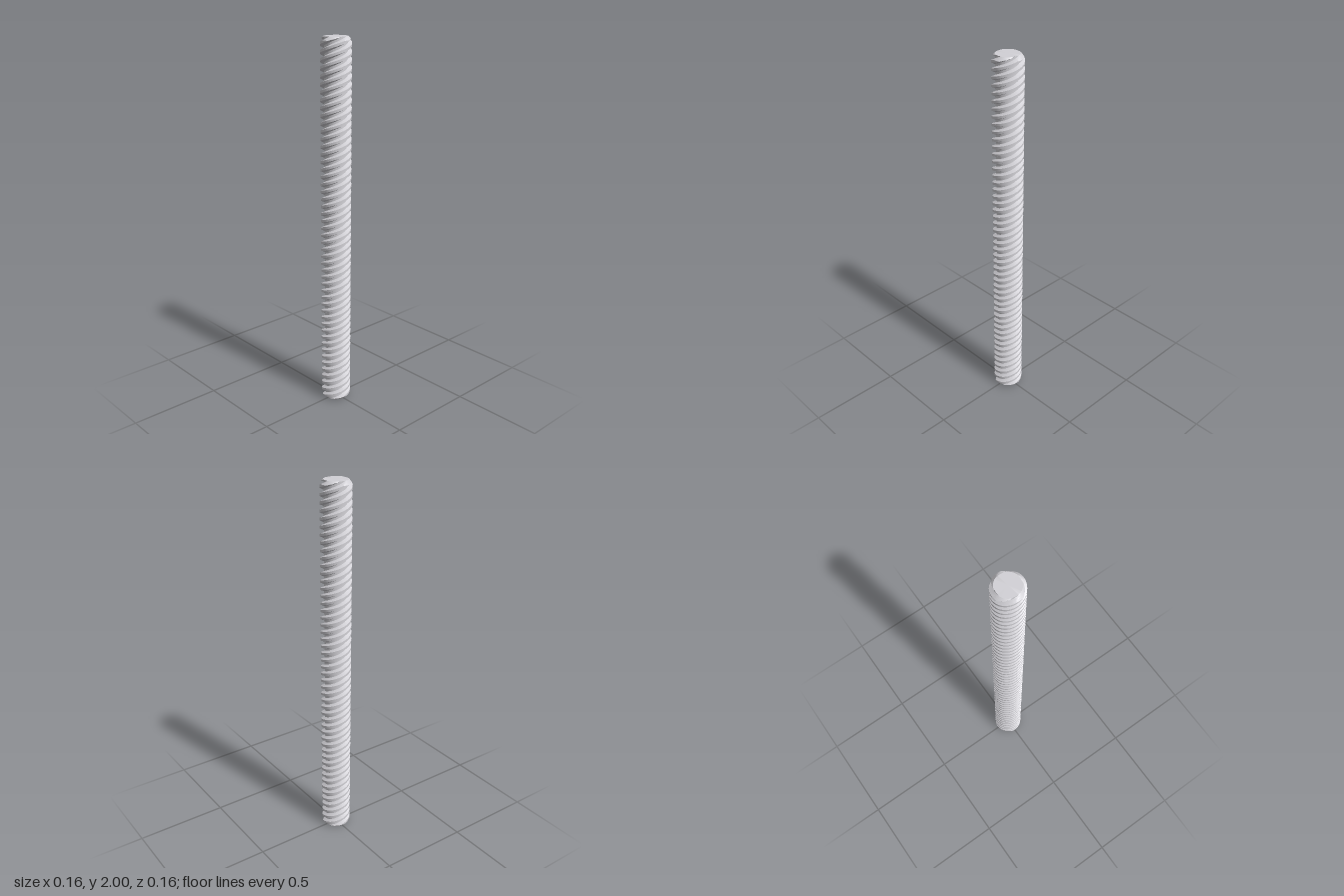
import * as THREE from 'three';
import { toCreasedNormals } from 'three/addons/utils/BufferGeometryUtils.js';

const LENGTH = 2, STARTS = 4, LEAD = 0.16;
const ROOT = 0.06, CREST = 0.08, END = 0.062; // radii; END is the flat end face
const CHAMFER = CREST - END;

// One trapezoidal thread as [fraction of pitch, radius], beginning mid-groove
function threadProfile() {
  const corners = [[0, ROOT, 2], [0.15, ROOT, 3], [0.34, CREST, 3], [0.66, CREST, 3], [0.85, ROOT, 2], [1, ROOT, 0]];
  const points = [];
  for (let k = 0; k < corners.length - 1; k++) {
    const [f0, r0, n] = corners[k], [f1, r1] = corners[k + 1];
    for (let s = 0; s < n; s++) points.push([f0 + (f1 - f0) * s / n, r0 + (r1 - r0) * s / n]);
  }
  return points;
}

// Ring heights: fine in the chamfered ends, coarser along the shaft
function ringHeights() {
  const ys = [], fine = 16, body = 900;
  for (let i = 0; i < fine; i++) ys.push(CHAMFER * i / fine);
  for (let i = 0; i <= body; i++) ys.push(CHAMFER + (LENGTH - 2 * CHAMFER) * i / body);
  for (let i = 1; i <= fine; i++) ys.push(LENGTH - CHAMFER + CHAMFER * i / fine);
  return ys;
}

// Twisted cross-section swept up the axis, clipped by a cone at each end
function screwGeometry() {
  const profile = threadProfile(), ys = ringHeights();
  const n = profile.length * STARTS, pos = [], idx = [];
  for (const y of ys) {
    const limit = END + Math.min(y, LENGTH - y, CHAMFER);
    for (let j = 0; j < n; j++) {
      const [f, r0] = profile[j % profile.length];
      const start = Math.floor(j / profile.length);
      const a = 2 * Math.PI * ((start + f) / STARTS + y / LEAD);
      const r = Math.min(r0, limit);
      pos.push(r * Math.sin(a), y, r * Math.cos(a));
    }
  }
  // Split each sheared quad along its short diagonal
  for (let i = 0; i < ys.length - 1; i++) {
    for (let j = 0; j < n; j++) {
      const k = (j + 1) % n;
      const a = i * n + j, b = i * n + k, c = a + n, d = b + n;
      idx.push(a, b, c, b, d, c);
    }
  }
  // Flat end faces
  const bottom = pos.length / 3, top = bottom + 1, last = (ys.length - 1) * n;
  pos.push(0, 0, 0, 0, LENGTH, 0);
  for (let j = 0; j < n; j++) {
    const k = (j + 1) % n;
    idx.push(bottom, k, j, top, last + j, last + k);
  }
  const g = new THREE.BufferGeometry();
  g.setAttribute('position', new THREE.Float32BufferAttribute(pos, 3));
  g.setIndex(idx);
  return toCreasedNormals(g, Math.PI / 6);
}

export function createModel() {
  const steel = new THREE.MeshStandardMaterial({ color: 0xd2d1d6 });
  steel.name = 'steel';
  const rod = new THREE.Mesh(screwGeometry(), steel);
  rod.name = 'threadedRod';
  const group = new THREE.Group();
  group.name = 'leadScrew';
  group.add(rod);
  return group;
}
